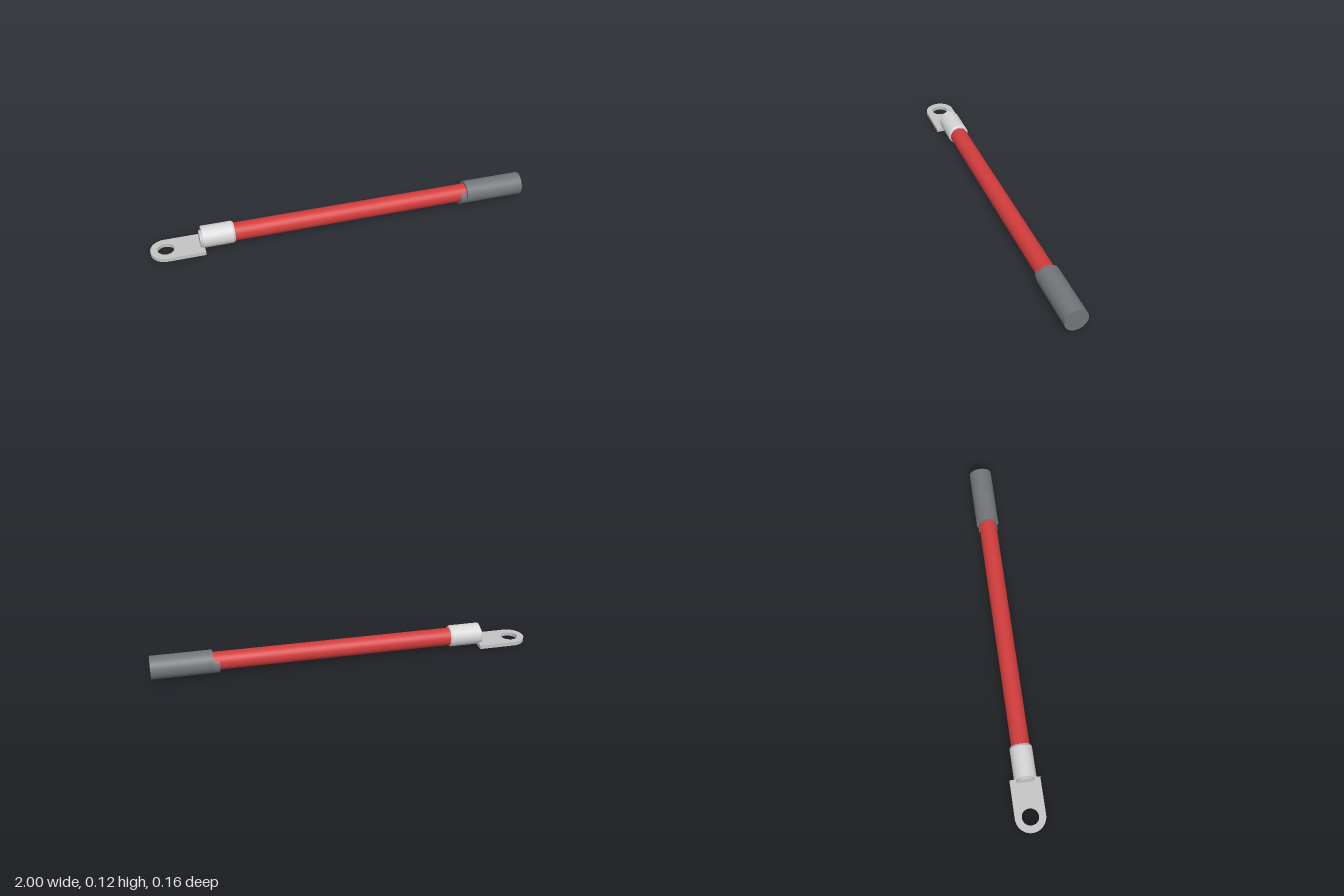
import * as THREE from 'three';

const mat = (name, color) => Object.assign(new THREE.MeshStandardMaterial({ color }), { name });

export function createModel() {
  const group = new THREE.Group();
  const red = mat('cableRed', 0xd23c3c);
  const grey = mat('sleeveGrey', 0x72767a);
  const silver = mat('lugSilver', 0xc4c4c4);
  const bright = mat('barrelSilver', 0xd6d6d6);

  const add = (name, geometry, material) => {
    const mesh = new THREE.Mesh(geometry, material);
    mesh.name = name;
    group.add(mesh);
    return mesh;
  };

  // Cylinder lying along x, from x0 to x1, with its axis at height y
  const rod = (name, x0, x1, radius, y, material, endRadius = radius) => {
    const g = new THREE.CylinderGeometry(endRadius, radius, x1 - x0, 48);
    g.rotateZ(-Math.PI / 2);
    g.translate((x0 + x1) / 2, y, 0);
    return add(name, g, material);
  };

  // Insulated cable
  rod('cable', -0.7, 0.8, 0.047, 0.063, red);

  // End sleeve and the slightly lower inner collar peeking out of it
  rod('endSleeve', 0.685, 1, 0.06, 0.063, grey);
  rod('innerCollar', 0.653, 0.965, 0.052, 0.053, grey);

  // Crimp barrel with a chamfered mouth, and the stub at its closed end
  rod('crimpBarrel', -0.738, -0.582, 0.057, 0.065, bright);
  rod('barrelMouth', -0.582, -0.572, 0.057, 0.065, bright, 0.051);
  rod('barrelStub', -0.75, -0.7, 0.045, 0.054, silver);

  // Flat lug tongue: round nose and a bolt hole
  const half = 0.078, cx = -1 + half;
  const outline = new THREE.Shape();
  outline.moveTo(cx, -half);
  outline.lineTo(-0.73, -half);
  outline.lineTo(-0.73, half);
  outline.lineTo(cx, half);
  outline.absarc(cx, 0, half, Math.PI / 2, Math.PI * 1.5, false);
  const hole = new THREE.Path();
  hole.absarc(cx, 0, 0.043, 0, Math.PI * 2, true);
  outline.holes.push(hole);
  const tongue = new THREE.ExtrudeGeometry(outline, { depth: 0.02, bevelEnabled: false, curveSegments: 32 });
  tongue.rotateX(-Math.PI / 2);
  tongue.translate(0, 0.007, 0);
  add('lugTongue', tongue, silver);

  return group;
}
